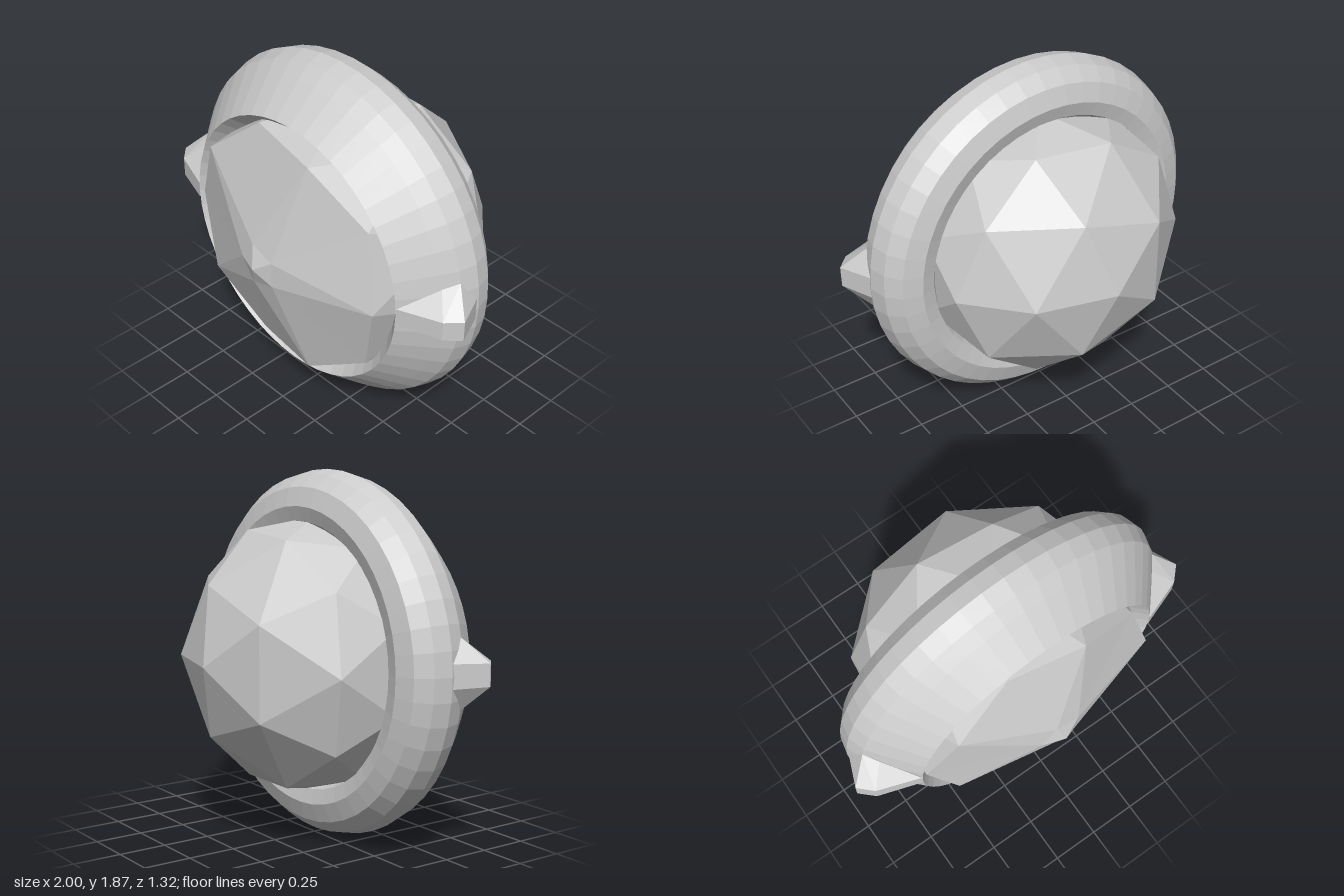
import * as THREE from 'three';
import { ConvexGeometry } from 'three/addons/geometries/ConvexGeometry.js';

const material = new THREE.MeshStandardMaterial({ color: 0xcccccc, flatShading: true, side: THREE.DoubleSide });

// Points on a circle around the z axis
function circle(count, radius, z, startDeg) {
  return Array.from({ length: count }, (_, i) => {
    const a = THREE.MathUtils.degToRad(startDeg + (360 / count) * i);
    return new THREE.Vector3(radius * Math.cos(a), radius * Math.sin(a), z);
  });
}

// Faceted gem: rounded back, nearly flat front with a small point
function gemGeometry() {
  const positions = [];
  const ab = new THREE.Vector3(), ac = new THREE.Vector3();
  const tri = (a, b, c) => {
    ab.subVectors(b, a);
    ac.subVectors(c, a);
    const outward = ab.cross(ac).dot(a) > 0;
    for (const p of outward ? [a, b, c] : [a, c, b]) positions.push(p.x, p.y, p.z);
  };
  const girdle = circle(10, 0.7, 0, 18);

  const cap = (tipZ, inner, corners, mids) => {
    const tip = new THREE.Vector3(0, 0, tipZ);
    // rim alternates corner, middle, corner, ...
    const rim = corners.flatMap((c, i) => [c, mids[i]]);
    for (let i = 0; i < 5; i++) {
      const next = (i + 1) % 5;
      tri(tip, inner[i], inner[next]);
      tri(inner[i], corners[i], mids[i]);
      tri(inner[i], mids[i], inner[next]);
      tri(inner[next], mids[i], corners[next]);
    }
    return rim;
  };
  const skirt = (rim, offset) => {
    for (let i = 0; i < 10; i++) {
      const g = girdle[(i + offset) % 10], next = girdle[(i + offset + 1) % 10];
      tri(rim[i], g, rim[(i + 1) % 10]);
      tri(rim[(i + 1) % 10], g, next);
    }
  };
  skirt(cap(-0.66, circle(5, 0.4, -0.55, 0), circle(5, 0.665, -0.265, 0), circle(5, 0.64, -0.31, 36)), 0);
  skirt(cap(0.66, circle(5, 0.12, 0.62, 35), circle(5, 0.67, 0.415, 35), circle(5, 0.64, 0.475, 71)), 1);

  const geometry = new THREE.BufferGeometry();
  geometry.setAttribute('position', new THREE.Float32BufferAttribute(positions, 3));
  geometry.computeVertexNormals();
  return geometry;
}

// Side claw gripping the ring, mirrored by side = 1 or -1
function clawGeometry(side) {
  const corners = [ // x, half height, z
    [0.71, 0.045, 0.412], [0.93, 0.052, 0.335], [1.0, 0.055, 0.265],
    [0.84, 0.145, 0.25], [0.89, 0.172, 0.18],
    [0.92, 0.06, 0.08], [0.75, 0.05, 0.1],
  ];
  return new ConvexGeometry(corners.flatMap(([x, h, z]) => [
    new THREE.Vector3(side * x, h, z), new THREE.Vector3(side * x, -h, z),
  ]));
}

export function createModel() {
  const model = new THREE.Group();
  model.name = 'mountedGem';
  const add = (name, geometry, parent) => {
    const mesh = new THREE.Mesh(geometry, material);
    mesh.name = name;
    parent.add(mesh);
    return mesh;
  };

  const gem = add('gem', gemGeometry(), model);
  gem.position.y = 0.937;

  // Setting, turned very slightly from square
  const setting = new THREE.Group();
  setting.name = 'setting';
  setting.position.y = 0.937;
  setting.rotation.set(0, 0.018, -0.013);
  model.add(setting);

  // Ring profile as radius and depth, from the inner back out to the front
  const profile = [
    [0.6, 0.02], [0.68, -0.08], [0.755, -0.1], [0.85, -0.07], [0.912, 0],
    [0.934, 0.09], [0.908, 0.18], [0.85, 0.25], [0.707, 0.412], [0.635, 0.33], [0.6, 0.02],
  ].map(([r, z]) => new THREE.Vector2(r, z));
  const ring = new THREE.LatheGeometry(profile, 48);
  ring.rotateX(Math.PI / 2);
  add('ring', ring, setting);

  add('leftClaw', clawGeometry(1), setting);
  add('rightClaw', clawGeometry(-1), setting);
  return model;
}
